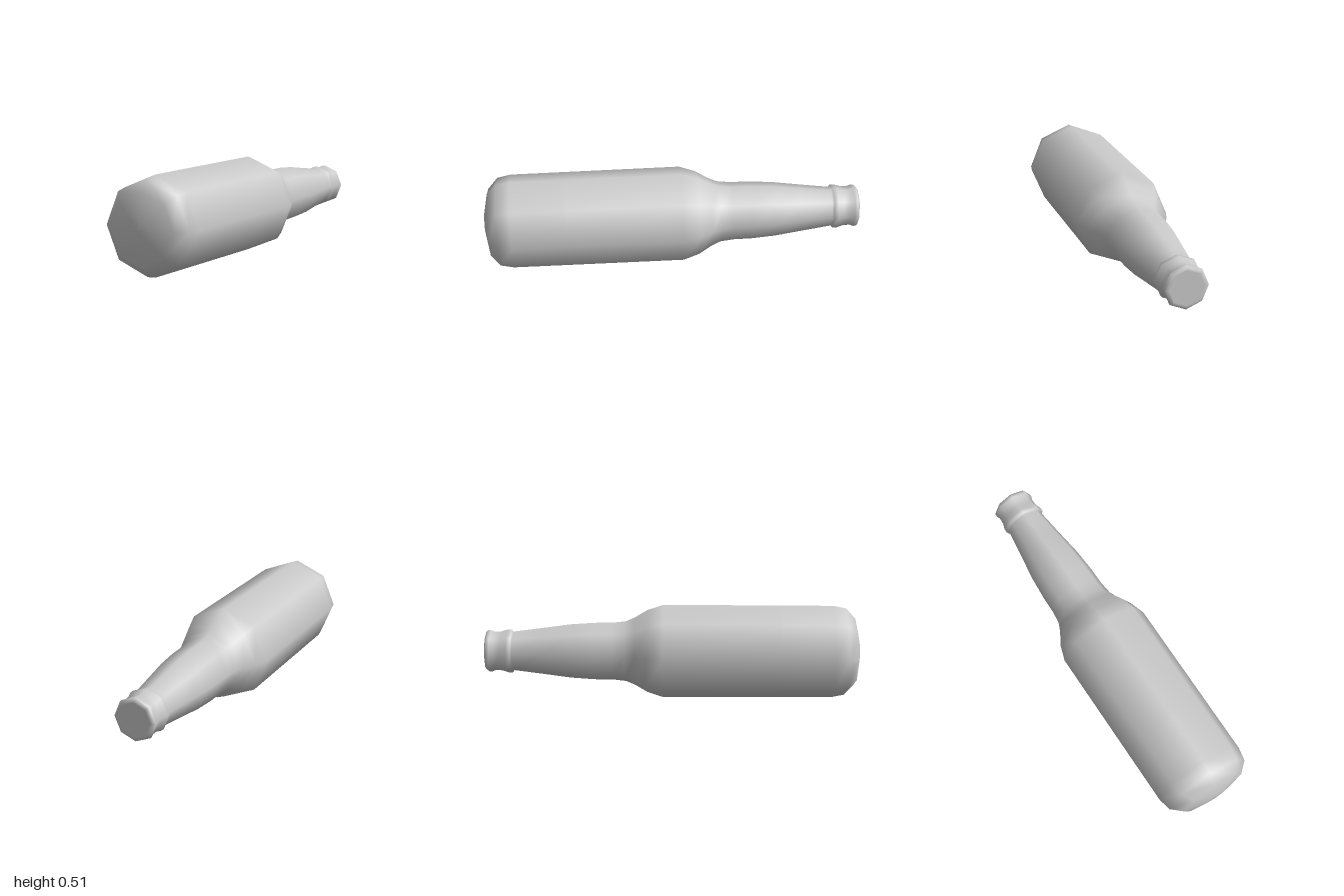
import * as THREE from 'three';

const SIDES = 8;
const RADIUS = 0.253;

// Profile as [radius, distance along the axis], from base to mouth
const PROFILE = [
  // domed base and rounded heel
  [0, -1], [0.06, -0.998], [0.18, -0.975], [0.236, -0.925], [0.25, -0.855],
  // straight body
  [0.251, -0.57], [RADIUS, 0.05],
  // shoulder
  [0.225, 0.135], [0.186, 0.2], [0.164, 0.25], [0.156, 0.32],
  // tapering neck
  [0.155, 0.42], [0.146, 0.55], [0.127, 0.69], [0.106, 0.853],
  // collar and lip
  [0.118, 0.862], [0.118, 0.885], [0.107, 0.92], [0.106, 0.955],
  [0.114, 0.975], [0.113, 0.99], [0.104, 1],
  // closed mouth
  [0.09, 1], [0, 1],
];

export function createModel() {
  const group = new THREE.Group();
  group.name = 'bottle';

  const points = PROFILE.map(([r, y]) => new THREE.Vector2(r, y));
  const geometry = new THREE.LatheGeometry(points, SIDES);
  // lay the bottle down, base to the front, resting on one corner edge
  geometry.rotateX(-Math.PI / 2);
  geometry.translate(0, RADIUS, 0);

  const body = new THREE.Mesh(geometry, new THREE.MeshStandardMaterial({ color: 0xcccccc }));
  body.name = 'bottleBody';
  group.add(body);
  return group;
}
